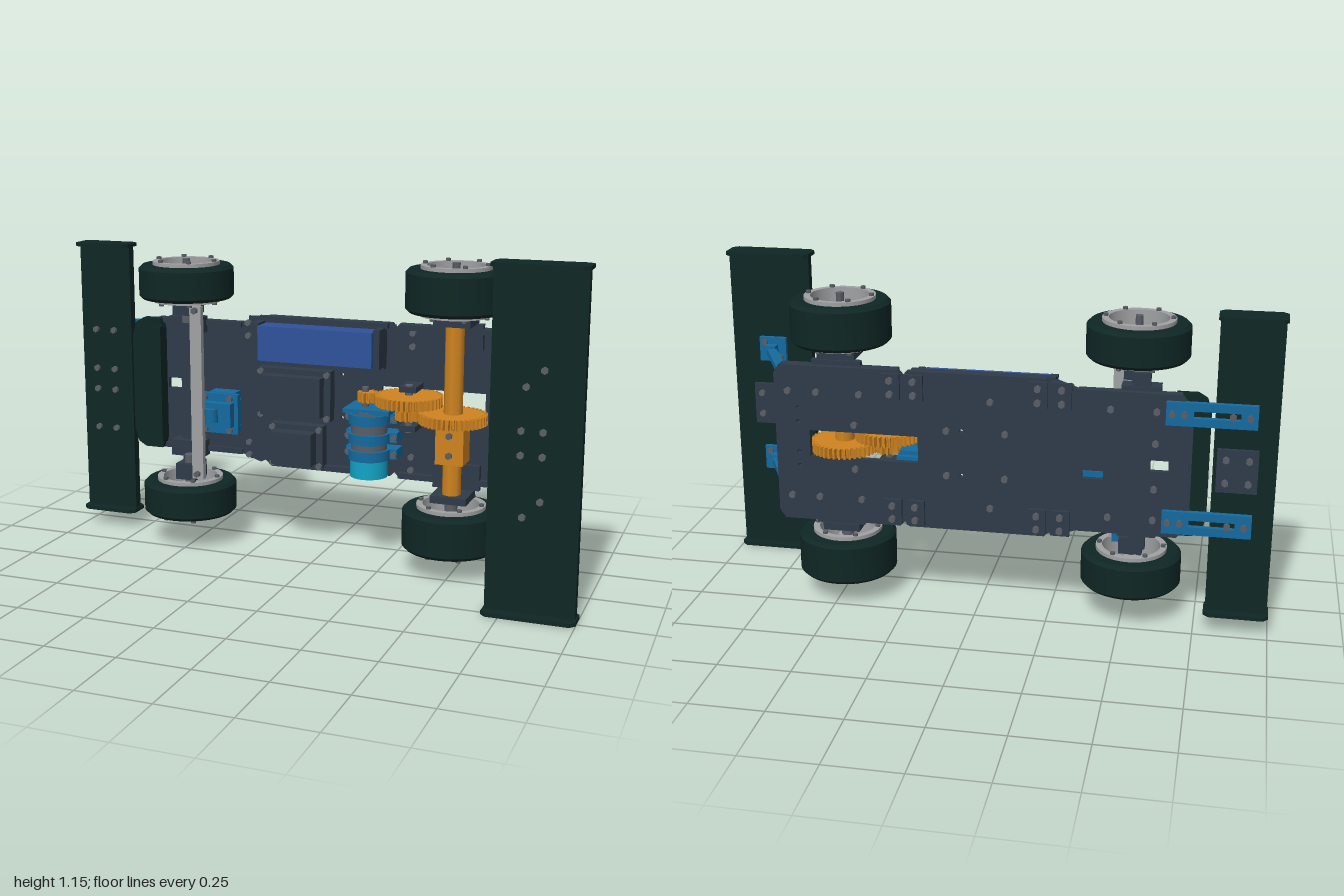
import * as THREE from 'three';
import { toCreasedNormals } from 'three/addons/utils/BufferGeometryUtils.js';

const mat = (name, hex) => {
  const m = new THREE.MeshStandardMaterial({ color: hex });
  m.name = name;
  return m;
};

export function createModel() {
  const root = new THREE.Group();
  const black = mat('rubber black', 0x0f2725), slate = mat('slate', 0x2f3b49), steel = mat('steel', 0x5a5f66);
  const silver = mat('silver', 0xa0a1a3), orange = mat('orange', 0xd08420), blue = mat('blue', 0x146a9f);
  const navy = mat('battery blue', 0x2f519c), cyan = mat('cyan', 0x12a5c6);
  const CY = 0.58, AZ = -0.11; // mid line and axle depth

  const add = (name, geo, m, x = 0, y = 0, z = 0, parent = root) => {
    const mesh = new THREE.Mesh(geo, m);
    mesh.name = name;
    mesh.position.set(x, y, z);
    parent.add(mesh);
    return mesh;
  };
  const box = (name, m, x0, x1, y0, y1, z0, z1) =>
    add(name, new THREE.BoxGeometry(x1 - x0, y1 - y0, z1 - z0), m, (x0 + x1) / 2, (y0 + y1) / 2, (z0 + z1) / 2);
  const rod = (name, m, r, x, y0, y1, z = AZ, n = 24) =>
    add(name, new THREE.CylinderGeometry(r, r, y1 - y0, n), m, x, (y0 + y1) / 2, z);
  const polygon = (pts) => new THREE.Shape(pts.map(([x, y]) => new THREE.Vector2(x, y)));
  const rect = (x0, x1, y0, y1) => polygon([[x0, y0], [x1, y0], [x1, y1], [x0, y1]]);
  const extrude = (shape, depth) => new THREE.ExtrudeGeometry(shape, { depth, bevelEnabled: false, curveSegments: 10 });
  const screwGeo = new THREE.CylinderGeometry(0.012, 0.012, 0.016, 6).rotateX(Math.PI / 2);
  const screw = (x, y, z) => add('screw', screwGeo, steel, x, y, z);
  const hole = (x, y, r) => new THREE.Path().absarc(x, y, r, 0, Math.PI * 2, true);

  // Chassis plate, symmetric about the mid line
  const half = [[0.7, 0.25], [0.68, 0.28], [0.265, 0.28], [0.25, 0.262], [0.235, 0.28], [-0.235, 0.28], [-0.25, 0.265],
    [-0.27, 0.275], [-0.34, 0.25], [-0.68, 0.25], [-0.72, 0.2]];
  const plate = polygon([...half.map(([x, d]) => [x, CY + d]), ...half.map(([x, d]) => [x, CY - d]).reverse()]);
  plate.holes.push(rect(-0.645, -0.585, 0.56, 0.6), rect(-0.43, -0.36, 0.52, 0.55), rect(0.2, 0.58, 0.535, 0.63));
  for (const y of [0.5, 0.66]) plate.holes.push(hole(0.05, y, 0.007), hole(0.62, y, 0.007), hole(0.62, y + 0.05, 0.007));
  add('chassisPlate', extrude(plate, 0.022), slate, 0, 0, -0.21);

  for (const s of [-1, 1]) {
    const e = CY + s * 0.27;
    box('sideLip', slate, -0.22, 0.225, e - 0.01, e + 0.01, -0.19, -0.165);
    box('sideLip', slate, 0.27, 0.68, e - 0.01, e + 0.01, -0.19, -0.165);
    box('sideLip', slate, -0.68, -0.34, e - s * 0.03 - 0.01, e - s * 0.03 + 0.01, -0.19, -0.175);
    // Joint plates with bolts
    for (const x of [-0.25, 0.25]) {
      const y = CY + s * 0.225;
      for (const d of [-0.04, 0.04]) {
        box('jointPlate', slate, x + d - 0.032, x + d + 0.032, y - 0.045, y + 0.045, -0.222, -0.208);
        for (const k of [-0.024, 0.024]) {
          screw(x + d, y + k, -0.23);
          screw(x + d * 1.6, y + k, -0.182);
        }
      }
    }
    for (const x of [-0.6, -0.45, -0.05, 0.4, 0.55, 0.65]) screw(x, CY + s * 0.19, -0.216);
    for (const x of [-0.6, -0.1, 0.1, 0.42]) screw(x, CY + s * 0.08, -0.216);
  }

  // Wheels
  const wheel = (name, x, y, w, s) => {
    const g = new THREE.Group();
    g.name = name;
    g.position.set(x, y, AZ);
    g.scale.y = 1;
    if (s < 0) g.rotation.x = Math.PI;
    root.add(g);
    const h = w / 2, c = 0.012;
    const ring = (pts) => toCreasedNormals(new THREE.LatheGeometry(
      [...pts, pts[0]].map(([r, v]) => new THREE.Vector2(r, v)), 48), 0.6);
    add('tyre', ring([[0.116, -h], [0.172 - c, -h], [0.172, c - h], [0.172, h - c], [0.172 - c, h], [0.116, h]]), black, 0, 0, 0, g);
    add('rim', ring([[0.1, -h - 0.013], [0.122, -h - 0.013], [0.122, h + 0.013], [0.1, h + 0.013]]), silver, 0, 0, 0, g);
    const disc = new THREE.Shape().absarc(0, 0, 0.104, 0, Math.PI * 2);
    for (let i = 0; i < 8; i++) {
      const a = i * Math.PI / 4;
      disc.holes.push(hole(Math.cos(a) * 0.067, Math.sin(a) * 0.067, 0.017));
    }
    add('rimDisc', extrude(disc, 0.015).rotateX(-Math.PI / 2), silver, 0, h - 0.055, 0, g);
    add('hub', new THREE.CylinderGeometry(0.03, 0.034, w * 0.7, 20), silver, 0, 0, 0, g);
    add('hubNut', new THREE.CylinderGeometry(0.014, 0.014, w + 0.04, 6), steel, 0, 0, 0, g);
    for (let i = 0; i < 6; i++) {
      const a = i * Math.PI / 3;
      add('rimBolt', new THREE.CylinderGeometry(0.009, 0.009, w + 0.044, 6), steel, Math.cos(a) * 0.11, 0, Math.sin(a) * 0.11, g);
    }
  };
  for (const s of [1, -1]) {
    wheel('frontWheel', -0.525, CY + s * 0.403, 0.122, s);
    wheel('rearWheel', 0.485, CY + s * 0.42, 0.148, s);
  }

  // Front axle and steering
  box('frontAxleBeam', slate, -0.575, -0.515, 0.27, 0.89, -0.188, -0.155);
  for (const s of [-1, 1]) {
    const y = CY + s * 0.31;
    box('steeringKnuckle', slate, -0.565, -0.485, y - 0.03, y + 0.03, -0.17, -0.07);
    rod('frontStub', steel, 0.02, -0.525, y - 0.06, y + 0.06);
    box('axleBracket', slate, -0.61, -0.48, CY + s * 0.235 - 0.03, CY + s * 0.235 + 0.03, -0.19, -0.13);
    box('steeringArm', blue, -0.51, -0.455, y - 0.018, y + 0.018, -0.1, -0.072);
    screw(-0.465, CY + s * 0.305, -0.042);
  }
  box('steeringBar', silver, -0.488, -0.443, 0.255, 0.9, -0.072, -0.05);
  box('servoBody', blue, -0.47, -0.345, 0.45, 0.54, -0.19, -0.08);
  box('servoFlange', blue, -0.49, -0.33, 0.42, 0.57, -0.135, -0.115);
  for (const y of [0.43, 0.56]) box('servoPost', blue, -0.45, -0.35, y - 0.012, y + 0.012, -0.19, -0.13);
  rod('servoHorn', blue, 0.025, -0.42, 0.47, 0.52, -0.08);
  for (const x of [-0.46, -0.36]) for (const y of [0.435, 0.555]) screw(x, y, -0.108);

  // Battery in its tray
  box('batteryTray', slate, -0.265, 0.215, 0.695, 0.86, -0.19, -0.165);
  box('battery', navy, -0.235, 0.195, 0.712, 0.838, -0.18, -0.08);
  for (const x of [-0.25, 0.205]) box('trayEnd', slate, x - 0.012, x + 0.012, 0.705, 0.845, -0.19, -0.1);

  // Electronics boxes, each with a raised lid
  for (const [x0, x1, y0, y1, z] of [[-0.26, 0.02, 0.49, 0.675, -0.1], [-0.215, -0.01, 0.31, 0.47, -0.09]]) {
    box('electronicsBase', slate, x0, x1, y0, y1, -0.19, -0.145);
    box('electronicsLid', slate, x0 + 0.025, x1 - 0.025, y0 + 0.02, y1 - 0.02, -0.15, z);
    for (const x of [x0 + 0.012, x1 - 0.012]) for (const y of [y0 + 0.012, y1 - 0.012]) screw(x, y, -0.14);
  }

  // Motor and mount
  rod('motorCap', cyan, 0.067, 0.18, 0.318, 0.38);
  rod('motorBody', steel, 0.064, 0.18, 0.38, 0.56);
  for (const y of [0.4, 0.46, 0.53]) {
    rod('motorBand', blue, 0.074, 0.18, y - 0.018, y + 0.018);
    box('motorBracket', blue, 0.09, 0.28, y - 0.018, y + 0.018, -0.19, -0.12);
    for (const x of [0.1, 0.27]) screw(x, y, -0.113);
  }
  box('motorPlate', blue, 0.1, 0.27, 0.555, 0.57, -0.19, -0.05);
  rod('motorShaft', steel, 0.012, 0.165, 0.55, 0.64);

  // Gear train
  const gear = (name, x, y, r, n, w) => {
    const pts = [];
    for (let i = 0; i < n; i++) {
      [[0, 0.87], [0.3, 0.87], [0.45, 1], [0.8, 1]].forEach(([t, f]) => {
        const a = (i + t) / n * Math.PI * 2, q = r - (1 - f) * 0.12;
        pts.push([Math.cos(a) * q, Math.sin(a) * q]);
      });
    }
    add(name, extrude(polygon(pts), w).rotateX(-Math.PI / 2), orange, x, y, AZ);
  };
  gear('pinion', 0.175, 0.588, 0.038, 12, 0.036);
  gear('idlerGear', 0.325, 0.588, 0.12, 40, 0.036);
  gear('idlerPinion', 0.325, 0.535, 0.048, 14, 0.05);
  gear('axleGear', 0.485, 0.535, 0.12, 40, 0.036);
  rod('idlerShaft', steel, 0.014, 0.325, 0.49, 0.66);
  for (const y of [0.505, 0.645]) box('idlerSupport', slate, 0.295, 0.355, y - 0.01, y + 0.01, -0.19, -0.09);

  // Rear axle
  rod('rearAxleTube', orange, 0.034, 0.485, 0.28, 0.885, AZ, 8);
  box('differentialHousing', orange, 0.435, 0.535, 0.395, 0.535, -0.155, -0.065);
  for (const y of [0.43, 0.5]) screw(0.485, y, -0.06);
  for (const s of [-1, 1]) {
    const y = CY + s * 0.312;
    box('rearAxleMount', slate, 0.42, 0.55, y - 0.013, y + 0.013, -0.19, -0.06);
    box('mountFoot', slate, 0.4, 0.57, y - s * 0.06 - 0.045, y - s * 0.06 + 0.045, -0.19, -0.165);
    rod('rearStub', steel, 0.022, 0.485, y - 0.06, y + 0.06);
  }

  // Wings: flat blade with chamfered end plates
  const wing = (name, x0, x1, y0, y1, z0, z1, zc) => {
    const c = 0.018;
    box(name + 'Blade', black, x0 + 0.006, x1 - 0.006, y0 + 0.01, y1 - 0.01, zc - 0.017, zc + 0.017);
    const end = polygon([[x0 + c, z0], [x1 - c, z0], [x1, z0 + c], [x1, z1 - c], [x1 - c, z1], [x0 + c, z1], [x0, z1 - c], [x0, z0 + c]]);
    for (const y of [y0, y1 - 0.013]) add(name + 'EndPlate', extrude(end, 0.013).rotateX(Math.PI / 2), black, 0, y + 0.013, 0);
  };
  wing('frontWing', -1, -0.782, 0.06, 1.1, -0.235, -0.13, -0.185);
  wing('rearWing', 0.69, 1, 0, 1.15, 0.175, 0.285, 0.227);
  box('frontWingJoiner', slate, -0.935, -0.8, 0.505, 0.655, -0.213, -0.2);
  box('rearWingJoiner', slate, 0.78, 0.92, 0.5, 0.655, 0.196, 0.211);
  for (const y of [0.54, 0.62]) {
    for (const x of [-0.935, -0.86]) { screw(x, y, -0.163); screw(x + 0.03, y, -0.217); }
    for (const x of [0.8, 0.87]) { screw(x, y, 0.248); screw(x + 0.02, y, 0.19); }
  }

  // Front bumper bar with swept ends
  const bar = polygon([[-0.775, 0.4], [-0.775, 0.76], [-0.76, 0.81], [-0.73, 0.828], [-0.66, 0.828], [-0.65, 0.79],
    [-0.65, 0.37], [-0.66, 0.332], [-0.73, 0.332], [-0.76, 0.35]]);
  add('bumperBar', extrude(bar, 0.035), black, 0, 0, -0.19);
  box('bumperLip', black, -0.685, -0.65, 0.36, 0.8, -0.16, -0.135);

  // Slotted brackets for the front wing
  for (const y of [0.77, 0.39]) {
    const b = rect(-0.925, -0.63, y - 0.04, y + 0.04);
    b.holes.push(rect(-0.87, -0.72, y - 0.012, y + 0.012));
    add('frontWingBracket', extrude(b, 0.02), blue, 0, 0, -0.225);
    for (const x of [-0.9, -0.845, -0.69, -0.65]) screw(x, y, -0.229);
    for (const x of [-0.935, -0.86]) screw(x, y, -0.163);
  }

  // Struts carrying the rear wing
  for (const y of [0.79, 0.365]) {
    const dx = 0.185, dz = 0.365;
    const strut = add('rearWingStrut', new THREE.BoxGeometry(Math.hypot(dx, dz), 0.022, 0.034), blue, 0.66 + dx / 2, y, -0.182 + dz / 2);
    strut.rotation.y = -Math.atan2(dz, dx);
    box('strutPad', blue, 0.79, 0.89, y - 0.045, y + 0.045, 0.193, 0.211);
    box('strutLug', blue, 0.82, 0.86, y - 0.02, y + 0.02, 0.16, 0.2);
    box('strutFoot', blue, 0.62, 0.695, y - 0.042, y + 0.042, -0.19, -0.172);
    for (const k of [-0.028, 0.028]) {
      screw(0.64, y + k, -0.167);
      screw(0.84 + k, y + k, 0.188);
      screw(0.84 + k, y + k, 0.248);
    }
  }
  return root;
}
